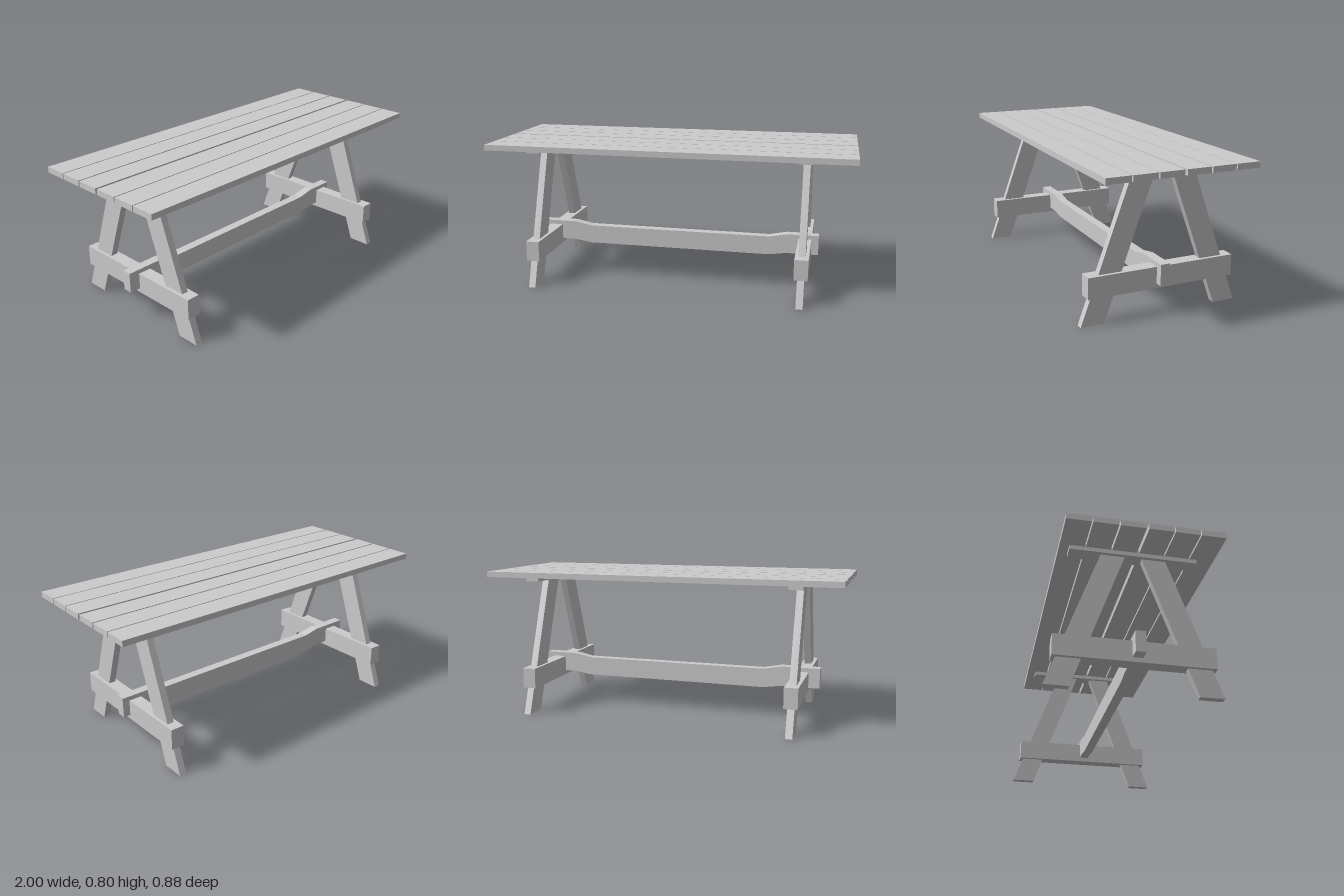
import * as THREE from 'three';

const material = new THREE.MeshStandardMaterial({ color: 0xcccccc, flatShading: true });

// Box given by its minimum and maximum along each axis
function box(name, [x0, x1], [y0, y1], [z0, z1]) {
  const mesh = new THREE.Mesh(new THREE.BoxGeometry(x1 - x0, y1 - y0, z1 - z0), material);
  mesh.name = name;
  mesh.position.set((x0 + x1) / 2, (y0 + y1) / 2, (z0 + z1) / 2);
  return mesh;
}

// Outline extruded along its normal, centred on the extrusion axis
function slab(name, points, depth) {
  const shape = new THREE.Shape(points.map(([u, v]) => new THREE.Vector2(u, v)));
  const geometry = new THREE.ExtrudeGeometry(shape, { depth, bevelEnabled: false });
  geometry.translate(0, 0, -depth / 2);
  const mesh = new THREE.Mesh(geometry, material);
  mesh.name = name;
  return mesh;
}

// One A-shaped end: two slanted legs, a crossbeam and a cleat under the top
function trestle(name, x) {
  const group = new THREE.Group();
  group.name = name;
  for (const side of [1, -1]) {
    const outline = [[0.442, 0], [0.17, 0.752], [0.044, 0.752], [0.317, 0]];
    const leg = slab(side > 0 ? 'frontLeg' : 'backLeg', outline.map(([z, y]) => [-side * z, y]), 0.038);
    leg.rotation.y = Math.PI / 2; // outline u runs along -z
    group.add(leg);
  }
  group.add(box('crossbeam', [-0.037, 0.037], [0.147, 0.26], [-0.407, 0.409]));
  group.add(box('cleat', [-0.038, 0.038], [0.75, 0.788], [-0.334, 0.335]));
  group.position.x = x;
  return group;
}

export function createModel() {
  const model = new THREE.Group();
  model.name = 'picnicTable';

  // Table top: six planks with narrow gaps
  const top = new THREE.Group();
  top.name = 'tableTop';
  for (const z of [0.36, 0.226, 0.092, -0.05, -0.186, -0.32]) {
    top.add(box('plank', [-1, 1], [0.773, 0.804], [z - 0.064, z + 0.064]));
  }
  model.add(top);

  model.add(trestle('leftTrestle', 0.738), trestle('rightTrestle', -0.754));

  // Long stretcher, lowered between its two ends
  const stretcher = slab('stretcher', [
    [-0.853, 0.172], [-0.635, 0.172], [-0.535, 0.157], [0.535, 0.157], [0.635, 0.172], [0.815, 0.172],
    [0.815, 0.284], [0.635, 0.284], [0.535, 0.264], [-0.535, 0.264], [-0.635, 0.284], [-0.853, 0.284],
  ], 0.052);
  stretcher.position.z = 0.0095;
  model.add(stretcher);

  return model;
}
